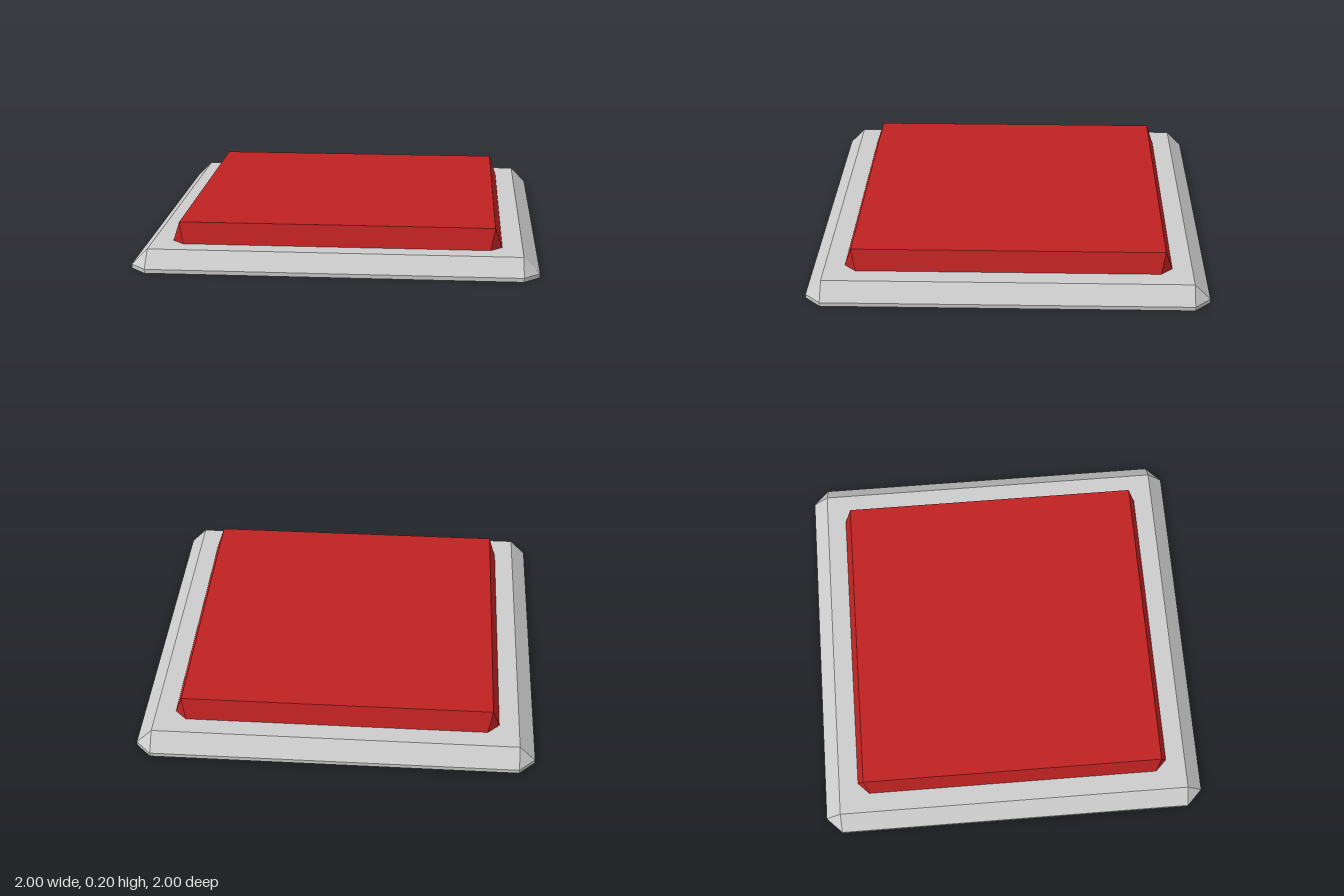
import * as THREE from 'three';

// Square outline of half-width h with corners cut by c, at height y (8 points)
function ring([y, h, c]) {
  const points = [];
  for (let k = 0; k < 4; k++) {
    for (const [x, z] of [[h, c - h], [h - c, -h]]) {
      const p = new THREE.Vector3(x, y, z);
      for (let i = 0; i < k; i++) p.set(p.z, y, -p.x);
      points.push(p);
    }
  }
  return points;
}

// Solid lofted through the outlines from bottom to top, capped at both ends
function slab(name, color, sections) {
  const rings = sections.map(ring);
  const positions = [];
  const tri = (a, b, c) => {
    if (a.equals(b) || b.equals(c) || c.equals(a)) return;
    for (const p of [a, b, c]) positions.push(p.x, p.y, p.z);
  };
  const bottom = rings[0];
  const top = rings[rings.length - 1];
  for (let i = 0; i < 8; i++) {
    const j = (i + 1) % 8;
    for (let r = 0; r < rings.length - 1; r++) {
      const low = rings[r], high = rings[r + 1];
      tri(low[i], low[j], high[j]);
      tri(low[i], high[j], high[i]);
    }
    tri(new THREE.Vector3(0, top[0].y, 0), top[i], top[j]);
    tri(new THREE.Vector3(0, bottom[0].y, 0), bottom[j], bottom[i]);
  }
  const geometry = new THREE.BufferGeometry();
  geometry.setAttribute('position', new THREE.Float32BufferAttribute(positions, 3));
  geometry.computeVertexNormals();
  const mesh = new THREE.Mesh(geometry, new THREE.MeshStandardMaterial({ color, flatShading: true }));
  mesh.name = name;
  return mesh;
}

export function createModel() {
  const model = new THREE.Group();
  model.name = 'floorButton';
  // Bevelled base plate: cut corners below, square edge on top
  model.add(slab('basePlate', 0xcccccc, [[0, 1, 0.08], [0.02, 1, 0.08], [0.1, 0.92, 0]]));
  // Raised red pad
  model.add(slab('pressPad', 0xbf2222, [[0.1, 0.82, 0.058], [0.203, 0.784, 0]]));
  return model;
}
